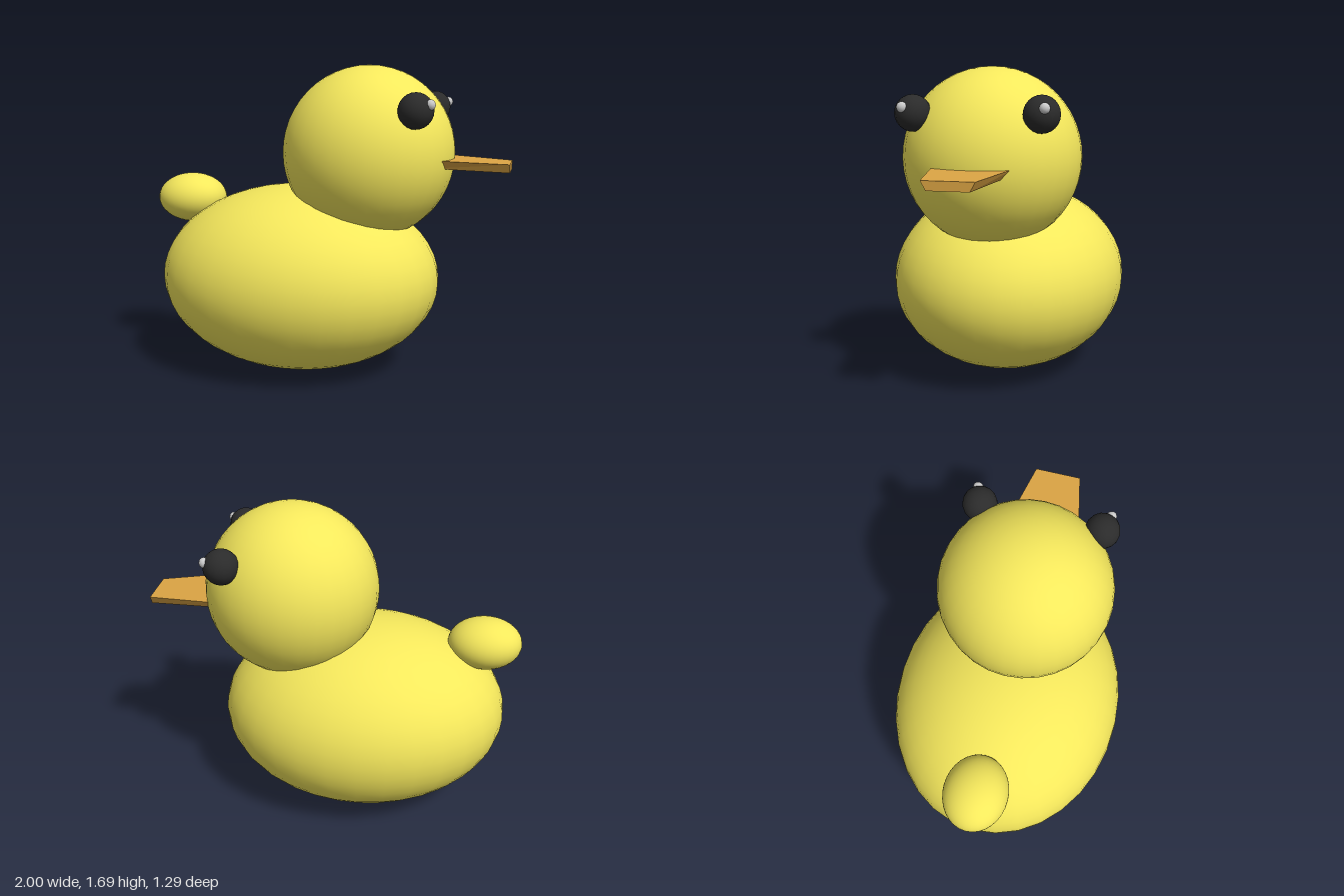
import * as THREE from 'three';

const material = (color) => new THREE.MeshStandardMaterial({ color });

export function createModel() {
  const duck = new THREE.Group();
  duck.name = 'duck';
  const yellow = material(0xf5e85c);
  const black = material(0x2b2b2b);
  const white = material(0xf2f2f2);
  const orange = material(0xdca544);

  // Smooth ellipsoid from a sphere: centre, radii and segment counts
  function ellipsoid(name, mat, [x, y, z], [rx, ry, rz], w = 32, h = 24) {
    const geometry = new THREE.SphereGeometry(1, w, h);
    geometry.scale(rx, ry, rz);
    const mesh = new THREE.Mesh(geometry, mat);
    mesh.name = name;
    mesh.position.set(x, y, z);
    duck.add(mesh);
  }

  ellipsoid('body', yellow, [-0.15, 0.52, 0], [0.787, 0.518, 0.645]);
  ellipsoid('head', yellow, [0.245, 1.225, 0], [0.465, 0.465, 0.465]);
  ellipsoid('tail', yellow, [-0.8, 0.94, 0], [0.2, 0.14, 0.17]);

  // Eyes with small glints, mirrored across z
  for (const [label, side] of [['left', -1], ['right', 1]]) {
    ellipsoid(label + 'Eye', black, [0.55, 1.46, side * 0.32], [0.091, 0.091, 0.091], 16, 12);
    ellipsoid(label + 'EyeGlint', white, [0.626, 1.49, side * 0.348], [0.025, 0.027, 0.027], 12, 8);
  }

  // Flat beak: a box tapered towards the tip and the underside
  const beakGeometry = new THREE.BoxGeometry(1, 1, 1);
  const p = beakGeometry.attributes.position;
  for (let i = 0; i < p.count; i++) {
    const tip = p.getX(i) > 0;
    const top = p.getY(i) > 0;
    const halfWidth = (tip ? 0.125 : 0.205) * (top ? 1 : 0.8);
    p.setXYZ(i, tip ? 1 : 0.6, (tip ? 1.19 : 1.208) - (top ? 0 : 0.045), Math.sign(p.getZ(i)) * halfWidth);
  }
  const flatBeak = beakGeometry.toNonIndexed();
  flatBeak.computeVertexNormals();
  const beak = new THREE.Mesh(flatBeak, orange);
  beak.name = 'beak';
  duck.add(beak);

  return duck;
}
